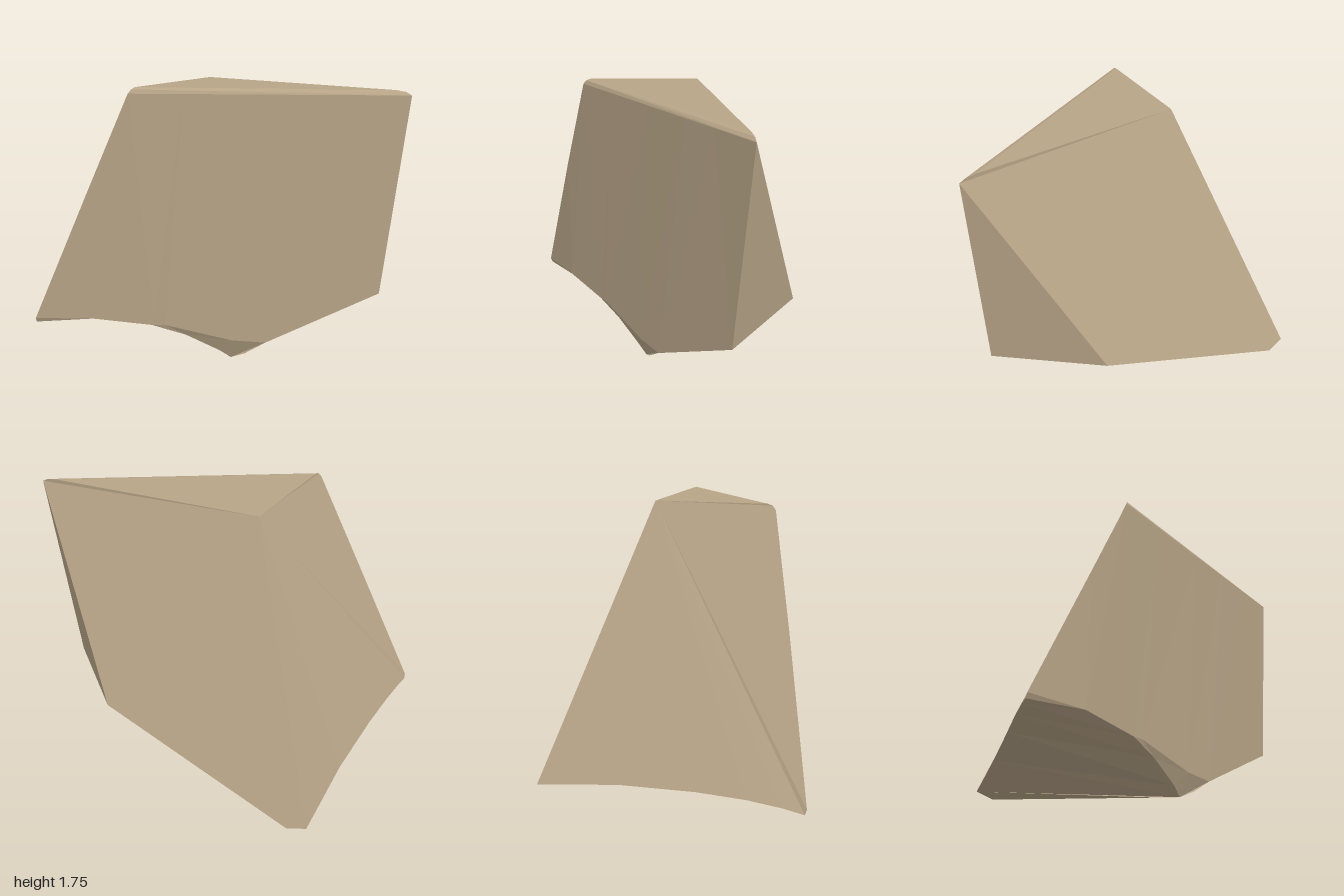
import * as THREE from 'three';

const V = (x, y, z) => new THREE.Vector3(x, y, z);
const stone = new THREE.MeshStandardMaterial({ color: 0xb8a588 });
stone.name = 'sandstone';
const core = V(0.2, 0.9, -0.2);

// Flat facet mesh from triangles, wound so that it faces away from the core
function facet(name, tris) {
  const sum = V(0, 0, 0), a = V(0, 0, 0), b = V(0, 0, 0);
  for (const [p, q, r] of tris) {
    a.subVectors(q, p).cross(b.subVectors(r, p));
    sum.add(a);
  }
  const p0 = tris.flat().reduce((s, p) => s.add(p), V(0, 0, 0)).divideScalar(tris.length * 3);
  const flip = sum.dot(p0.sub(core)) < 0;
  const pts = tris.flatMap(([p, q, r]) => (flip ? [p, r, q] : [p, q, r]));
  const geo = new THREE.BufferGeometry().setFromPoints(pts);
  geo.computeVertexNormals();
  const mesh = new THREE.Mesh(geo, stone);
  mesh.name = name;
  return mesh;
}

// Polygon filled from its first corner
const fan = (name, p) =>
  facet(name, p.slice(2).map((q, i) => [p[0], p[i + 1], q]));

// Surface between two rails of equal length, skipping collapsed triangles
function strip(name, u, l) {
  const tris = [];
  for (let i = 0; i < u.length - 1; i++) {
    if (l[i] !== l[i + 1]) tris.push([u[i], l[i], l[i + 1]]);
    if (u[i] !== u[i + 1]) tris.push([u[i], l[i + 1], u[i + 1]]);
  }
  return facet(name, tris);
}

export function createModel() {
  const rock = new THREE.Group();
  rock.name = 'rock';

  // Top corners; the front edge is rounded over in two steps
  const topBack = V(0.25, 1.755, -0.36);
  const bevelLeft = [V(-0.43, 1.755, -0.36), V(-0.46, 1.745, -0.36), V(-0.48, 1.72, -0.37)];
  const bevelRight = [V(0.465, 1.755, 0.9), V(0.475, 1.748, 0.96), V(0.48, 1.73, 0.995)];
  const [, , rimLeft] = bevelLeft, [, , rimRight] = bevelRight;

  // Corners around the lower right side
  const sideFront = V(0.83, 0.54, 0.34), frontLow = V(0.41, 0.5, 0.89);
  const sideBack = V(0.78, 0.13, -0.89), backLow = V(0.75, 0.165, -1);

  // Worn lower edge of the front face
  const leftMid = V(-0.63, 1.1, -0.61), leftTip = V(-0.83, 0.23, -0.95);
  const leftLow = V(-0.63, 0.255, -0.61);
  const wearEnd = V(-0.4, 0.225, -0.28);
  const wear = [V(0, 0.14, 0.32), V(-0.12, 0.145, 0.14), V(-0.36, 0.23, -0.22)];

  // Foot and the two rails of the hollow underneath
  const footFront = V(-0.06, 0.05, 0.2), foot = V(-0.08, 0, 0.1), footBack = V(-0.02, 0.005, 0);
  const chips = [V(-0.13, 0.05, 0.05), V(-0.27, 0.16, -0.12)];
  const hollowFront = [footBack, foot, ...chips, wearEnd, leftLow, leftTip];
  const hollowBack = [
    sideBack, backLow, V(0.25, 0.22, -0.965), V(-0.21, 0.24, -0.955),
    V(-0.5, 0.237, -0.955), V(-0.7, 0.22, -0.955), V(-0.82, 0.2, -0.955),
  ];

  const rim = [0, 0.2, 0.45, 0.65, 0.8, 1].map((t) =>
    t === 0 ? rimLeft : t === 1 ? rimRight : rimLeft.clone().lerp(rimRight, t));

  rock.add(
    fan('topFace', [topBack, bevelLeft[0], bevelRight[0]]),
    strip('topBevelUpper', bevelLeft.slice(0, 2), bevelRight.slice(0, 2)),
    strip('topBevelLower', bevelLeft.slice(1), bevelRight.slice(1)),
    strip('frontFace', [leftMid, ...rim],
      [leftTip, leftLow, wearEnd, wear[2], wear[1], wear[0], frontLow]),
    fan('cornerFace', [rimRight, frontLow, sideFront]),
    fan('sideFace', [topBack, ...bevelRight, sideFront, sideBack, backLow]),
    fan('backFace', [topBack, ...bevelLeft, leftMid, leftTip, ...hollowBack.slice(1).reverse()]),
    fan('bottomFace', [sideFront, frontLow, wear[0], footFront, foot, footBack, sideBack]),
    strip('wornEdge', [wear[0], wear[1], wear[1], wear[2], wearEnd],
      [footFront, foot, ...chips, wearEnd]),
    strip('underHollow', hollowFront, hollowBack),
  );
  return rock;
}
